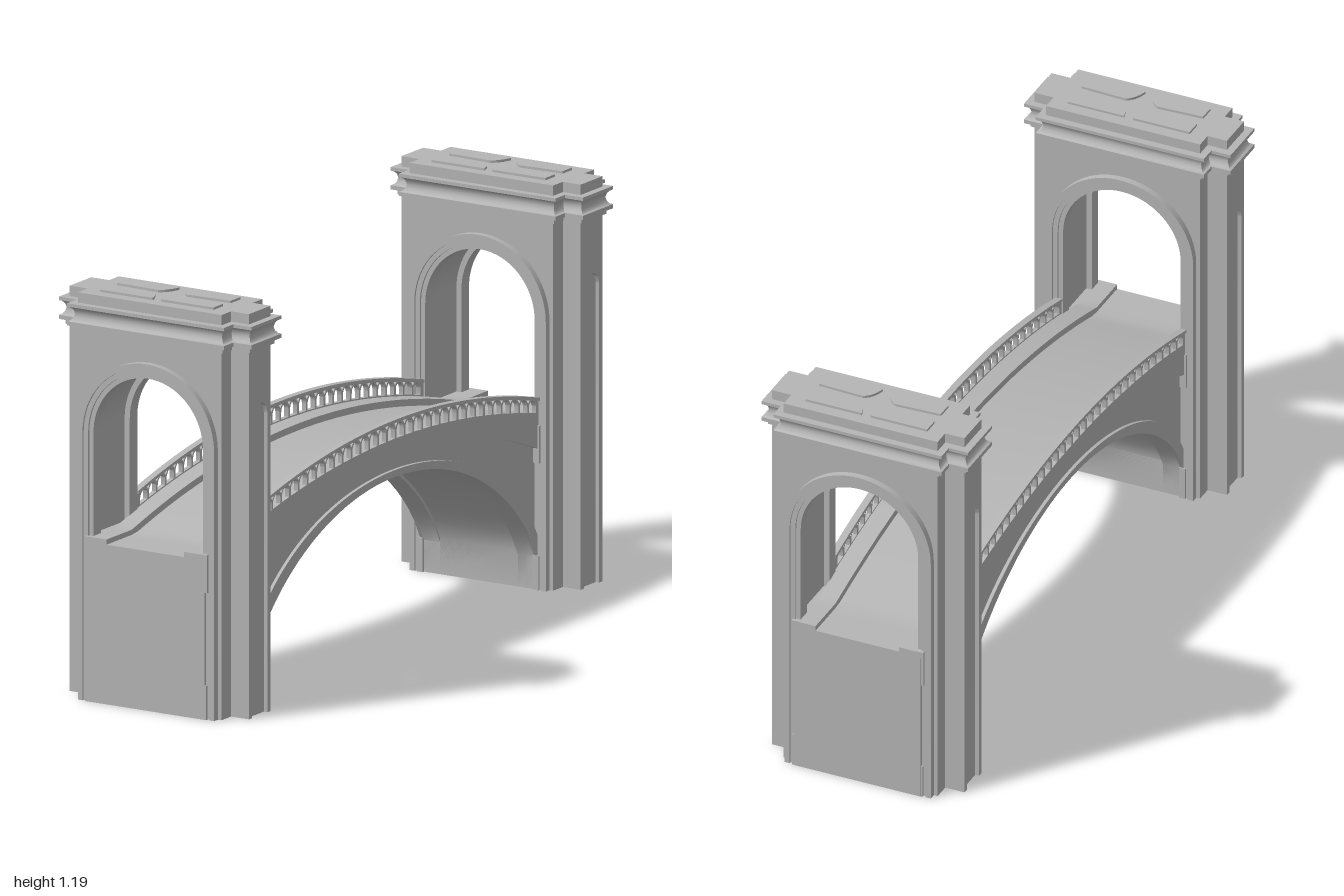
import * as THREE from 'three';
import { toCreasedNormals } from 'three/addons/utils/BufferGeometryUtils.js';

const stone = new THREE.MeshStandardMaterial({ color: 0xb5b5b5 });
stone.name = 'grey stone';

// Height rules along the bridge
const curbTop = z => Math.max(0.6 - 0.16 * z * z, 0.48);
const deckTop = z => Math.max(0.58 - 0.16 * z * z, 0.465);
const railTop = z => 0.66 - 0.178 * z * z;
const corniceLow = z => 0.565 - 0.275 * z * z;
const soffit = z => 0.5 * (Math.sqrt(0.815 - z * z) - 0.413) +
  0.245 * Math.sqrt(1 - (z / 0.765) ** 2);
const ringTop = z => soffit(z) + 0.02 + 0.085 * z * z;

const SPAN = 0.75, TOWER_Z = 0.87;

function add(parent, name, geometry) {
  const mesh = new THREE.Mesh(geometry, stone);
  mesh.name = name;
  parent.add(mesh);
  return mesh;
}

// Extrude an x-y shape between two z values
function slabZ(shape, z0, z1) {
  const g = new THREE.ExtrudeGeometry(shape, { depth: z1 - z0, bevelEnabled: false, curveSegments: 20 });
  return toCreasedNormals(g.translate(0, 0, z0), 0.6);
}

// Extrude a z-y shape between two x values
function slabX(shape, x0, x1) {
  const g = new THREE.ExtrudeGeometry(shape, { depth: x1 - x0, bevelEnabled: false, curveSegments: 6 });
  return toCreasedNormals(g.rotateY(Math.PI / 2).translate(x0, 0, 0), 0.6);
}

function box(x0, x1, y0, y1, z0, z1) {
  return new THREE.BoxGeometry(x1 - x0, y1 - y0, z1 - z0)
    .translate((x0 + x1) / 2, (y0 + y1) / 2, (z0 + z1) / 2);
}

// Points of a curve y = f(z) from z = a to z = b
function sample(f, a, b, n = 48) {
  return Array.from({ length: n + 1 }, (_, i) => {
    const z = a + (b - a) * i / n;
    return new THREE.Vector2(z, f(z));
  });
}

function band(low, high, half) {
  return new THREE.Shape([...sample(low, -half, half), ...sample(high, half, -half)]);
}

// Solid bridge profile with an arched underside
function spanShape(top, lift) {
  return new THREE.Shape([
    new THREE.Vector2(-1, 0), new THREE.Vector2(-SPAN, 0),
    ...sample(z => soffit(z) + lift, -SPAN, SPAN),
    new THREE.Vector2(SPAN, 0), new THREE.Vector2(1, 0),
    ...sample(top, 1, -1, 60)
  ]);
}

// Wall or arched band around a round-headed opening that reaches the ground
function portal(outer, inner, spring, flatTop) {
  const s = new THREE.Shape();
  s.moveTo(outer, 0);
  if (flatTop) s.lineTo(outer, flatTop).lineTo(-outer, flatTop);
  else s.lineTo(outer, spring).absarc(0, spring, outer, 0, Math.PI, false);
  s.lineTo(-outer, 0).lineTo(-inner, 0).lineTo(-inner, spring);
  s.absarc(0, spring, inner, Math.PI, 0, true);
  s.lineTo(inner, 0).lineTo(outer, 0);
  return s;
}

// Cross-shaped tower plan, grown outward by o
function crossPlan(o) {
  const A = 0.3 + o, a = 0.24 + o, D = 0.107 + o, d = 0.057 + o;
  const half = [[A, d], [a, d], [a, D], [-a, D], [-a, d], [-A, d]];
  return [...half, ...half.map(([x, v]) => [-x, -v])];
}

// Moulded cap: the cross plan lofted through a cornice profile
function capGeometry() {
  const profile = [[0, 1.06], [0, 1.07], [0.008, 1.07], [0.008, 1.085], [0.022, 1.085], [0.022, 1.097],
    [0.015, 1.1], [0.009, 1.108], [0.006, 1.118], [0.009, 1.13], [0.015, 1.137], [0.022, 1.14],
    [0.022, 1.15], [0, 1.15], [0, 1.18]];
  const pos = [];
  for (let k = 0; k + 1 < profile.length; k++) {
    const [lo, y0] = profile[k], [hi, y1] = profile[k + 1];
    const L = crossPlan(lo), H = crossPlan(hi);
    for (let i = 0; i < 12; i++) {
      const j = (i + 1) % 12;
      const a = [L[i][0], y0, -L[i][1]], b = [L[j][0], y0, -L[j][1]];
      const c = [H[j][0], y1, -H[j][1]], d = [H[i][0], y1, -H[i][1]];
      pos.push(...a, ...b, ...c, ...a, ...c, ...d);
    }
  }
  const g = new THREE.BufferGeometry();
  g.setAttribute('position', new THREE.Float32BufferAttribute(pos, 3));
  return toCreasedNormals(g, 0.6);
}

function makeTower() {
  const tower = new THREE.Group();
  add(tower, 'towerWall', slabZ(portal(0.24, 0.2, 0.78, 1.07), -0.107, 0.107));

  // Stepped mouldings round the opening on both faces
  for (const [R, r, face] of [[0.228, 0.212, 0.127], [0.213, 0.197, 0.121], [0.199, 0.183, 0.115]]) {
    const shape = portal(R, r, 0.78);
    add(tower, 'archMoulding', slabZ(shape, 0.075, face));
    add(tower, 'archMoulding', slabZ(shape, -face, -0.075));
  }

  // Side piers with a tall round-headed niche
  const niche = portal(0.057, 0.04, 0.87, 1.07);
  for (const side of [-1, 1]) {
    const [p, q] = side > 0 ? [0.24, 0.288] : [-0.288, -0.24];
    add(tower, 'sidePier', box(p, q, 0, 1.07, -0.057, 0.057));
    add(tower, 'sideNiche', side > 0 ? slabX(niche, 0.288, 0.3) : slabX(niche, -0.3, -0.288));
  }

  // Base below the roadway, with small stepped edges
  add(tower, 'baseBlock', box(-0.198, 0.198, 0, 0.46, -0.12, 0.13));
  for (const s of [-1, 1]) {
    for (const [w, y0, y1] of [[0.206, 0.37, 0.48], [0.203, 0, 0.1]]) {
      const x0 = s > 0 ? 0.184 : -w, x1 = s > 0 ? w : -0.184;
      add(tower, 'baseCorner', box(x0, x1, y0, y1, -0.1275, 0.1295));
    }
  }

  // Cap and its top panels, parted by a star-shaped groove
  add(tower, 'cornice', capGeometry());
  const plan = new THREE.Shape(crossPlan(0).map(([x, v]) => new THREE.Vector2(x, v)));
  add(tower, 'capTop', new THREE.ShapeGeometry(plan).rotateX(-Math.PI / 2).translate(0, 1.18, 0));
  for (const sx of [-1, 1]) for (const sz of [-1, 1]) {
    const s = new THREE.Shape();
    s.moveTo(0.19 * sx, 0.07 * sz).lineTo(0.19 * sx, 0.02 * sz).lineTo(0.05 * sx, 0.014 * sz);
    s.quadraticCurveTo(0.024 * sx, 0.026 * sz, 0.014 * sx, 0.07 * sz);
    add(tower, 'capPanel', new THREE.ExtrudeGeometry(s, { depth: 0.007, bevelEnabled: false })
      .rotateX(-Math.PI / 2).translate(0, 1.18, 0));
  }
  return tower;
}

// Parapet pierced by a row of pointed openings
function railingShape() {
  const shape = band(z => curbTop(z) - 0.01, railTop, SPAN);
  const count = 32, pitch = 1.48 / count;
  const at = (z, t) => {
    const low = curbTop(z) + 0.004, high = railTop(z) - 0.01;
    return [z, low + (high - low) * t];
  };
  for (let i = 0; i < count; i++) {
    const c = (i - (count - 1) / 2) * pitch, w = 0.019;
    const lancet = new THREE.Path();
    lancet.moveTo(...at(c - w, 0)).lineTo(...at(c + w, 0)).lineTo(...at(c + w, 0.4));
    lancet.quadraticCurveTo(...at(c + w, 0.8), ...at(c, 1));
    lancet.quadraticCurveTo(...at(c - w, 0.8), ...at(c - w, 0.4));
    shape.holes.push(lancet);
    if (i === count - 1) continue;
    const m = c + pitch / 2;
    shape.holes.push(new THREE.Path().moveTo(...at(m, 0.72))
      .lineTo(...at(m + 0.008, 0.97)).lineTo(...at(m - 0.008, 0.97)));
  }
  return shape;
}

export function createModel() {
  const model = new THREE.Group();
  model.name = 'archBridge';

  // Roadway
  add(model, 'roadway', slabX(spanShape(deckTop, 0.012), -0.13, 0.13));

  // Mirrored sides
  const sides = [
    ['curbAndSpandrel', spanShape(curbTop, 0), 0.13, 0.185],
    ['archRing', band(soffit, ringTop, SPAN), 0.184, 0.195],
    ['spandrelCornice', band(corniceLow, curbTop, SPAN), 0.184, 0.2],
    ['railing', railingShape(), 0.186, 0.2],
    ['handrail', band(z => railTop(z) - 0.009, railTop, SPAN), 0.183, 0.204]
  ];
  for (const [name, shape, x0, x1] of sides) {
    add(model, name, slabX(shape, x0, x1));
    add(model, name, slabX(shape, -x1, -x0));
  }

  // Towers at both ends
  for (const end of [0, 1]) {
    const tower = makeTower();
    tower.name = end ? 'backTower' : 'frontTower';
    tower.position.z = end ? -TOWER_Z : TOWER_Z;
    tower.rotation.y = end * Math.PI;
    model.add(tower);
  }
  return model;
}
